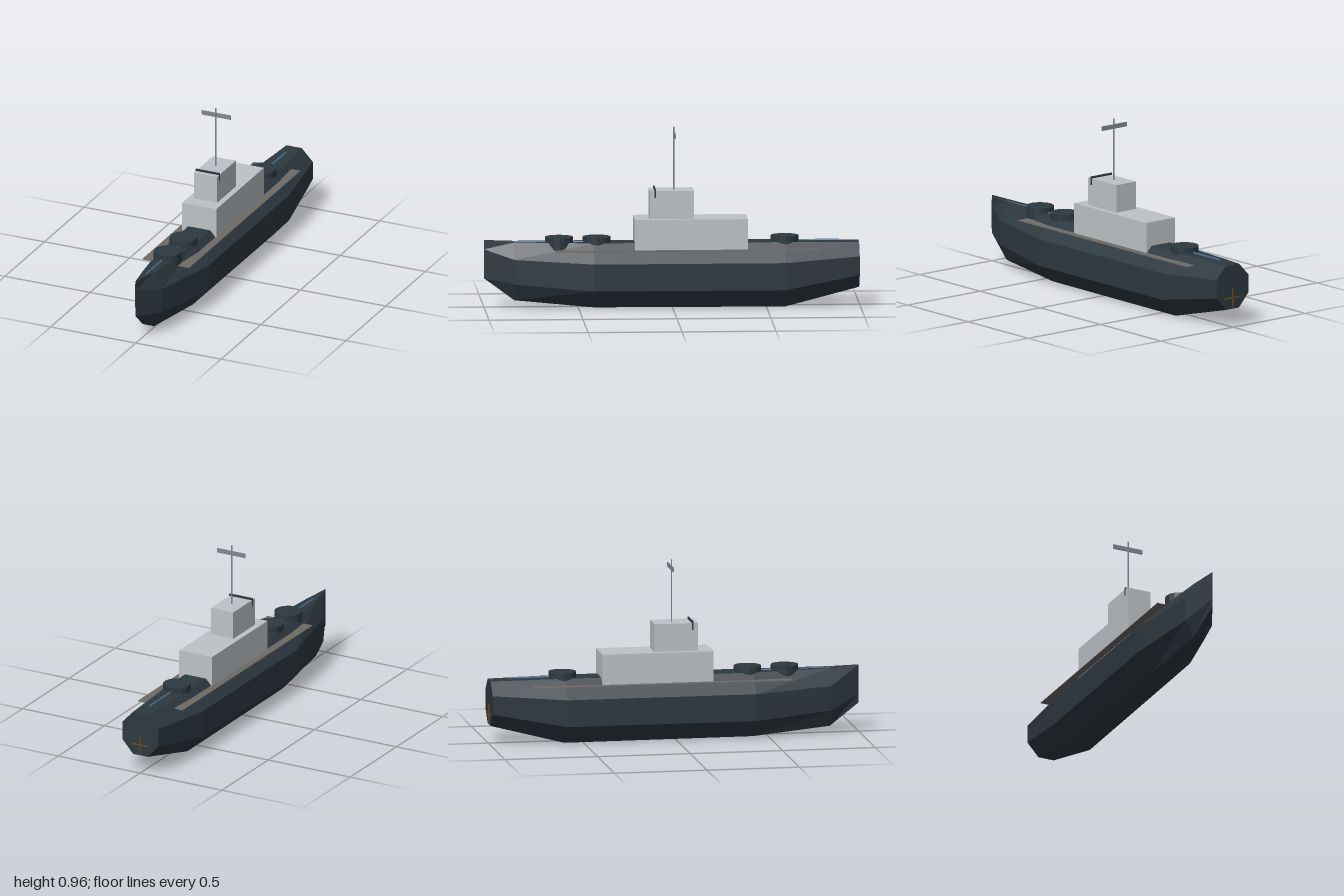
import * as THREE from 'three';

const mat = (name, color) => {
  const m = new THREE.MeshStandardMaterial({ color });
  m.name = name;
  return m;
};

export function createModel() {
  const ship = new THREE.Group();
  ship.name = 'ship';

  const hullPaint = mat('dark hull blue grey', 0x2d3840);
  const lightGrey = mat('light grey', 0xbdc3c7);
  const steel = mat('mast grey', 0x7f8a90);
  const deckBrown = mat('walkway brown grey', 0x6e6a66);
  const gunBlue = mat('barrel blue', 0x486a8a);
  const bronze = mat('propeller bronze', 0x6b4a1e);

  const add = (name, geometry, material, x = 0, y = 0, z = 0) => {
    const mesh = new THREE.Mesh(geometry, material);
    mesh.name = name;
    mesh.position.set(x, y, z);
    ship.add(mesh);
    return mesh;
  };
  const box = (name, material, w, h, d, x, y, z) =>
    add(name, new THREE.BoxGeometry(w, h, d), material, x, y, z);
  const faceted = (geometry) => {
    const g = geometry.toNonIndexed();
    g.computeVertexNormals();
    return g;
  };

  // Hull stations: z, half widths (keel, side, deck), heights (keel, lower chine, upper chine, deck)
  const stations = [
    [1.0, 0.001, 0.002, 0.001, 0.155, 0.2, 0.31, 0.36],
    [0.84, 0.033, 0.078, 0.032, 0.04, 0.13, 0.262, 0.35],
    [0.42, 0.064, 0.155, 0.064, 0.003, 0.1, 0.245, 0.346],
    [-0.6, 0.064, 0.155, 0.064, 0.0, 0.1, 0.245, 0.345],
    [-0.995, 0.045, 0.11, 0.045, 0.1, 0.172, 0.272, 0.34],
  ];
  const points = [];
  for (const [z, b, w, t, y0, y1, y2, y3] of stations) {
    const half = [[b, y0], [w, y1], [w, y2], [t, y3]];
    for (const [x, y] of half) points.push(x, y, z);
    for (const [x, y] of half.reverse()) points.push(-x, y, z);
  }
  const index = [];
  const last = (stations.length - 1) * 8;
  for (let i = 0; i < last; i += 8) {
    for (let j = 0; j < 8; j++) {
      const k = (j + 1) % 8;
      index.push(i + j, i + 8 + j, i + 8 + k, i + j, i + 8 + k, i + k);
    }
  }
  for (let k = 1; k < 7; k++) {
    index.push(0, k, k + 1, last, last + k + 1, last + k);
  }
  const hull = new THREE.BufferGeometry();
  hull.setAttribute('position', new THREE.Float32BufferAttribute(points, 3));
  hull.setIndex(index);
  add('hull', faceted(hull), hullPaint);

  // Side walkways
  for (const s of [1, -1]) {
    box(s > 0 ? 'leftWalkway' : 'rightWalkway', deckBrown, 0.075, 0.004, 1.4, s * 0.1, 0.31, -0.08);
  }

  // Superstructure, bridge and the visor strip set through the bridge front
  box('superstructure', lightGrey, 0.2, 0.175, 0.6, 0, 0.3875, -0.1);
  box('bridge', lightGrey, 0.136, 0.15, 0.235, 0, 0.55, 0.003);
  box('bridgeVisor', hullPaint, 0.141, 0.046, 0.008, 0, 0.612, 0.092);

  // Mast and antenna
  add('mast', faceted(new THREE.CylinderGeometry(0.004, 0.004, 0.34, 8)), steel, 0, 0.79, -0.01);
  box('antenna', steel, 0.172, 0.024, 0.006, 0, 0.918, -0.015);

  // Turrets, each with one long barrel
  for (const [name, z, dir] of [['forward', 0.6, 1], ['upper', 0.4, 1], ['aft', -0.6, -1]]) {
    add(name + 'Turret', faceted(new THREE.CylinderGeometry(0.074, 0.074, 0.07, 16)), hullPaint, 0, 0.34, z);
    const barrel = add(name + 'Barrel', faceted(new THREE.CylinderGeometry(0.006, 0.006, 0.29, 8)),
      gunBlue, 0, 0.347, z + dir * 0.145);
    barrel.rotation.x = Math.PI / 2;
  }

  // Propeller on the transom
  box('propellerBladeAcross', bronze, 0.1, 0.008, 0.008, 0, 0.16, -0.996);
  box('propellerBladeUpright', bronze, 0.008, 0.1, 0.008, 0, 0.16, -0.996);

  return ship;
}
